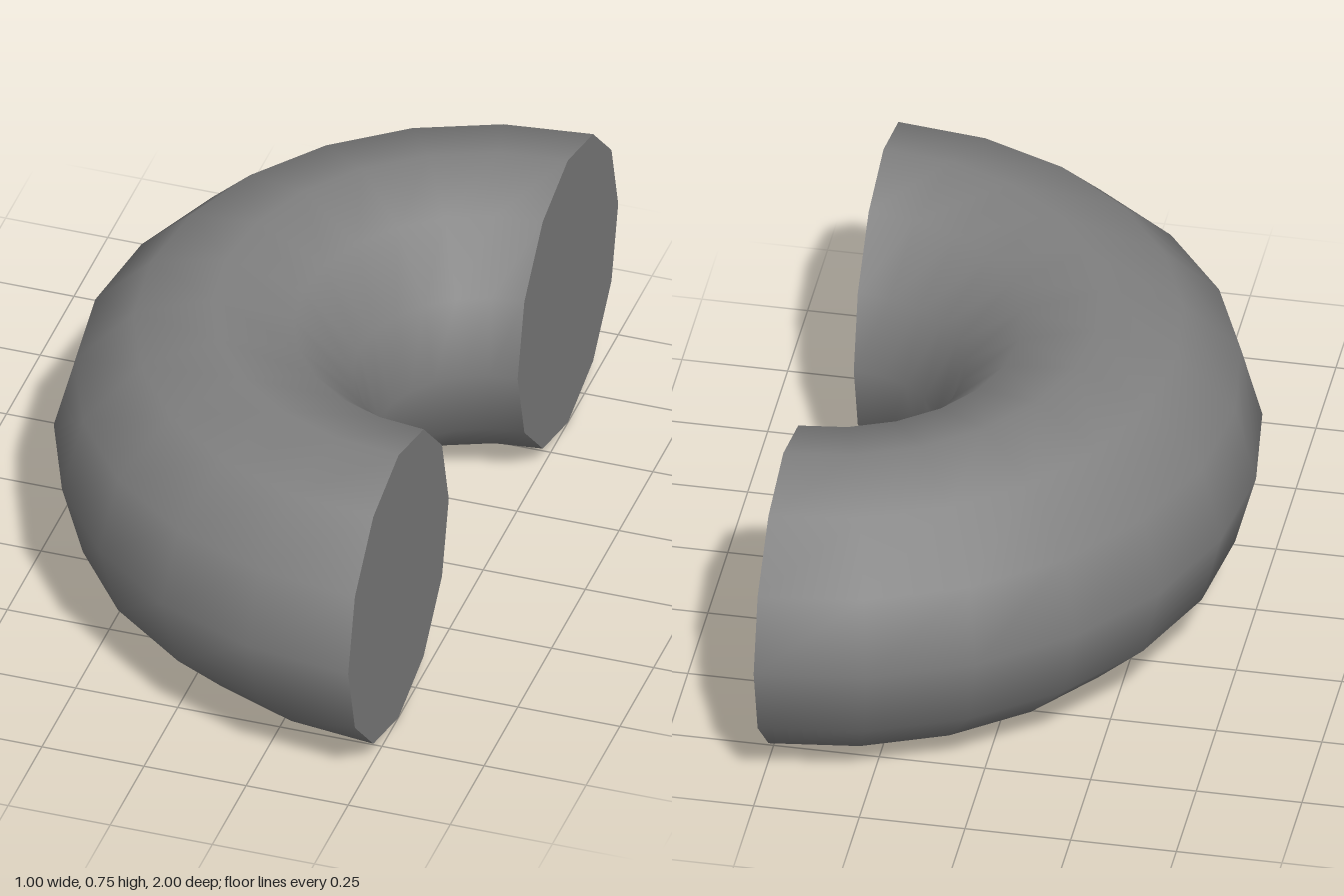
import * as THREE from 'three';

const RING = 0.6275; // radius of the bend's centre line
const TUBE = 0.3725; // radius of the tube
const SIDES = 12;

export function createModel() {
  const group = new THREE.Group();
  group.name = 'halfRing';
  const material = new THREE.MeshStandardMaterial({ color: 0x808080 });

  const add = (name, geometry, z = 0) => {
    const mesh = new THREE.Mesh(geometry, material);
    mesh.name = name;
    mesh.position.set(0.5, TUBE, z);
    group.add(mesh);
  };

  // Smooth half ring lying flat, bulging towards -x
  const bend = new THREE.TorusGeometry(RING, TUBE, SIDES, 12, Math.PI);
  bend.rotateZ(Math.PI / 2).rotateX(Math.PI / 2);
  add('bentTube', bend);

  // Flat caps closing both cut ends, facing +x
  const cap = new THREE.CircleGeometry(TUBE, SIDES).rotateY(Math.PI / 2);
  add('frontCap', cap, RING);
  add('backCap', cap, -RING);

  return group;
}
